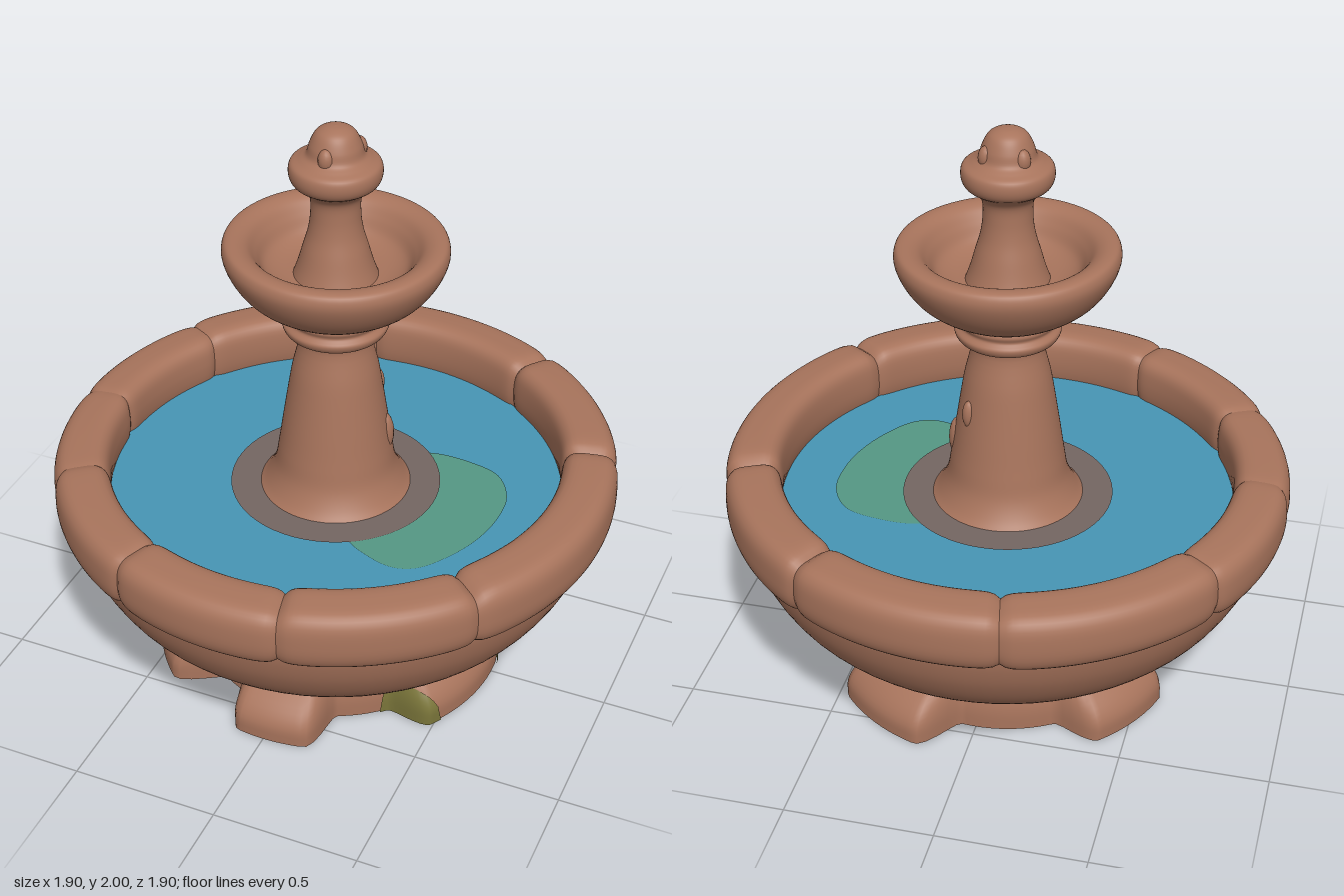
import * as THREE from 'three';
import { mergeVertices } from 'three/addons/utils/BufferGeometryUtils.js';

const rad = THREE.MathUtils.degToRad;
const material = (name, color, side = THREE.DoubleSide) => {
  const m = new THREE.MeshStandardMaterial({ color, side });
  m.name = name;
  return m;
};

// Point at an angle in degrees (0 = +x, 90 = +z)
const polar = (deg, r, y) => new THREE.Vector3(r * Math.cos(rad(deg)), y, r * Math.sin(rad(deg)));

// Smooth surface from a rule f(u, v), both 0..1
function surface(nu, nv, f) {
  let g = new THREE.PlaneGeometry(1, 1, nu, nv);
  const p = g.attributes.position;
  for (let j = 0, i = 0; j <= nv; j++) {
    for (let k = 0; k <= nu; k++, i++) p.setXYZ(i, ...f(k / nu, j / nv).toArray());
  }
  g.deleteAttribute('uv');
  g.deleteAttribute('normal');
  g = mergeVertices(g, 1e-5);
  g.computeVertexNormals();
  return g;
}

const spline = (pts) => new THREE.CatmullRomCurve3(pts.map(([r, y]) => new THREE.Vector3(r, y, 0)), false, 'centripetal');

// Turned part with a smooth profile, listed bottom to top
const turned = (pts) => new THREE.LatheGeometry(
  spline(pts).getPoints(pts.length * 5).map((p) => new THREE.Vector2(Math.max(p.x, 0), p.y)), 72);

// Feet of the pedestal: centre angle, half width, reach
const feet = [[88, 22, 0.62], [14, 31, 0.59], [-57, 27, 0.62], [-149, 26, 0.6], [150, 29, 0.62]];

function footReach(deg) {
  let reach = 0.46;
  for (const [centre, half, r] of feet) {
    const d = Math.abs(THREE.MathUtils.euclideanModulo(deg - centre + 180, 360) - 180);
    const w = THREE.MathUtils.smoothstep(half - d, 0, 11);
    reach = Math.max(reach, 0.46 + (r - 0.46) * w);
  }
  return reach;
}

function pedestalPoint(deg, y, lift = 0) {
  const k = 1 - (Math.max(0, y - 0.04) / 0.18) ** 2;
  return polar(deg, 0.4 + (footReach(deg) - 0.4) * k + lift, y);
}

export function createModel() {
  const model = new THREE.Group();
  model.name = 'fountain';
  const stone = material('terracotta stone', 0xa8745c);
  const water = material('water blue', 0x4795b4);
  const algae = material('algae green', 0x559784);
  const moss = material('moss green', 0x7a753a);
  const silt = material('grey silt', 0x746662);

  const add = (name, geometry, mat, parent = model) => {
    const mesh = new THREE.Mesh(geometry, mat);
    mesh.name = name;
    parent.add(mesh);
    return mesh;
  };

  // Hollow pedestal with five spreading feet
  add('pedestal', surface(180, 14, (u, v) => pedestalPoint(-360 * u, 0.22 * (1 - v))), stone);

  // Moss growing on one foot
  for (const [centre, half, height] of [[39, 9, 0.13], [-11, 6.5, 0.12]]) {
    add('pedestalMoss', surface(16, 8, (u, v) => {
      const s = 1 - 2 * u;
      return pedestalPoint(centre + half * s, height * Math.sqrt(1 - s * s) * (1 - v), 0.006);
    }), moss);
  }

  // Large bowl, an open shell
  add('basin', turned([[0.39, 0.2], [0.44, 0.225], [0.57, 0.25], [0.69, 0.305], [0.79, 0.395],
    [0.855, 0.5], [0.885, 0.59], [0.895, 0.66]]), stone);

  // Rim of uneven stones, pinched where they meet
  const rim = new THREE.Group();
  rim.name = 'basinRim';
  model.add(rim);
  const seams = [-148, -102, -58, -19, 39, 78, 114, 148, 178, 212];
  const tops = [0.0, 0.005, 0.01, 0.012, 0.01, 0.0, -0.005, -0.012, -0.01];
  const section = spline([[0.775, 0.62], [0.76, 0.68], [0.758, 0.75], [0.768, 0.8], [0.795, 0.824], [0.86, 0.825],
    [0.915, 0.815], [0.94, 0.785], [0.948, 0.73], [0.944, 0.67], [0.925, 0.632], [0.885, 0.615]]);
  for (let i = 0; i < tops.length; i++) {
    add('rimStone', surface(36, 36, (u, v) => {
      const p = section.getPoint(v);
      const edge = Math.min(u, 1 - u) * (seams[i + 1] - seams[i]);
      const swell = 1 - Math.exp(-edge / 1.3);
      const scale = 0.85 + 0.15 * swell;
      const bulge = 0.005 * swell * Math.sin(Math.PI * u);
      const r = 0.852 + (p.x - 0.852) * (scale + bulge);
      const y = 0.72 + (p.y - 0.72) * scale + tops[i] * swell * (p.y > 0.72 ? 1 : 0.5);
      return polar(seams[i + 1] + (seams[i] - seams[i + 1]) * u, r, y);
    }), stone, rim);
  }

  // Water with algae and a silt ring floating just above it
  const flat = (name, geometry, y, mat) => {
    geometry.rotateX(-Math.PI / 2);
    add(name, geometry, mat).position.y = y;
  };
  flat('water', new THREE.CircleGeometry(0.775, 72), 0.66, water);
  const outline = [[0.12, -0.2], [0.25, -0.268], [0.38, -0.27], [0.5, -0.235], [0.57, -0.13], [0.58, 0], [0.555, 0.13],
    [0.5, 0.25], [0.43, 0.34], [0.36, 0.368], [0.27, 0.35], [0.15, 0.27]];
  const patch = new THREE.Shape();
  patch.setFromPoints(new THREE.CatmullRomCurve3(outline.map(([x, z]) => new THREE.Vector3(x, -z, 0)), true)
    .getPoints(60).map((p) => new THREE.Vector2(p.x, p.y)));
  flat('waterAlgae', new THREE.ShapeGeometry(patch), 0.664, algae);
  const ring = new THREE.RingGeometry(0.16, 0.355, 60);
  flat('siltRing', ring, 0.668, silt);

  // Tapering column with a collar
  add('column', turned([[0.27, 0.65], [0.235, 0.69], [0.205, 0.75], [0.19, 0.83], [0.172, 0.95], [0.145, 1.12],
    [0.12, 1.255], [0.135, 1.265], [0.165, 1.28], [0.174, 1.305], [0.158, 1.325], [0.163, 1.345], [0.15, 1.37],
    [0.12, 1.39]]), stone);

  // Chipped lumps on the column
  for (const [deg, r, y, w, h] of [[-13, 0.165, 0.88, 0.032, 0.075], [-48, 0.155, 1.02, 0.022, 0.05]]) {
    const lump = add('columnLump', new THREE.SphereGeometry(1, 16, 12), stone);
    lump.position.copy(polar(deg, r, y));
    lump.scale.set(w, h, w);
  }

  // Small upper bowl, slightly tilted
  const bowl = add('upperBowl', turned([[0.12, 1.345], [0.165, 1.36], [0.235, 1.395], [0.305, 1.45], [0.35, 1.52],
    [0.363, 1.57], [0.352, 1.6], [0.32, 1.606], [0.285, 1.592], [0.255, 1.555], [0.225, 1.51], [0.17, 1.485],
    [0.08, 1.48]]), stone);
  bowl.rotation.z = -0.012;
  bowl.position.x = -0.018;

  // Stem and rounded finial
  add('finial', turned([[0.14, 1.47], [0.122, 1.52], [0.105, 1.58], [0.088, 1.64], [0.08, 1.7], [0.083, 1.76],
    [0.105, 1.79], [0.138, 1.815], [0.148, 1.845], [0.142, 1.875], [0.115, 1.89], [0.093, 1.905], [0.082, 1.94],
    [0.06, 1.98], [0.03, 1.996], [0, 2]]), stone);
  for (const deg of [90, 220, 320]) {
    const knob = add('finialKnob', new THREE.SphereGeometry(1, 16, 12), stone);
    knob.position.copy(polar(deg, 0.075, 1.915));
    knob.scale.set(0.026, 0.038, 0.026);
  }

  return model;
}
